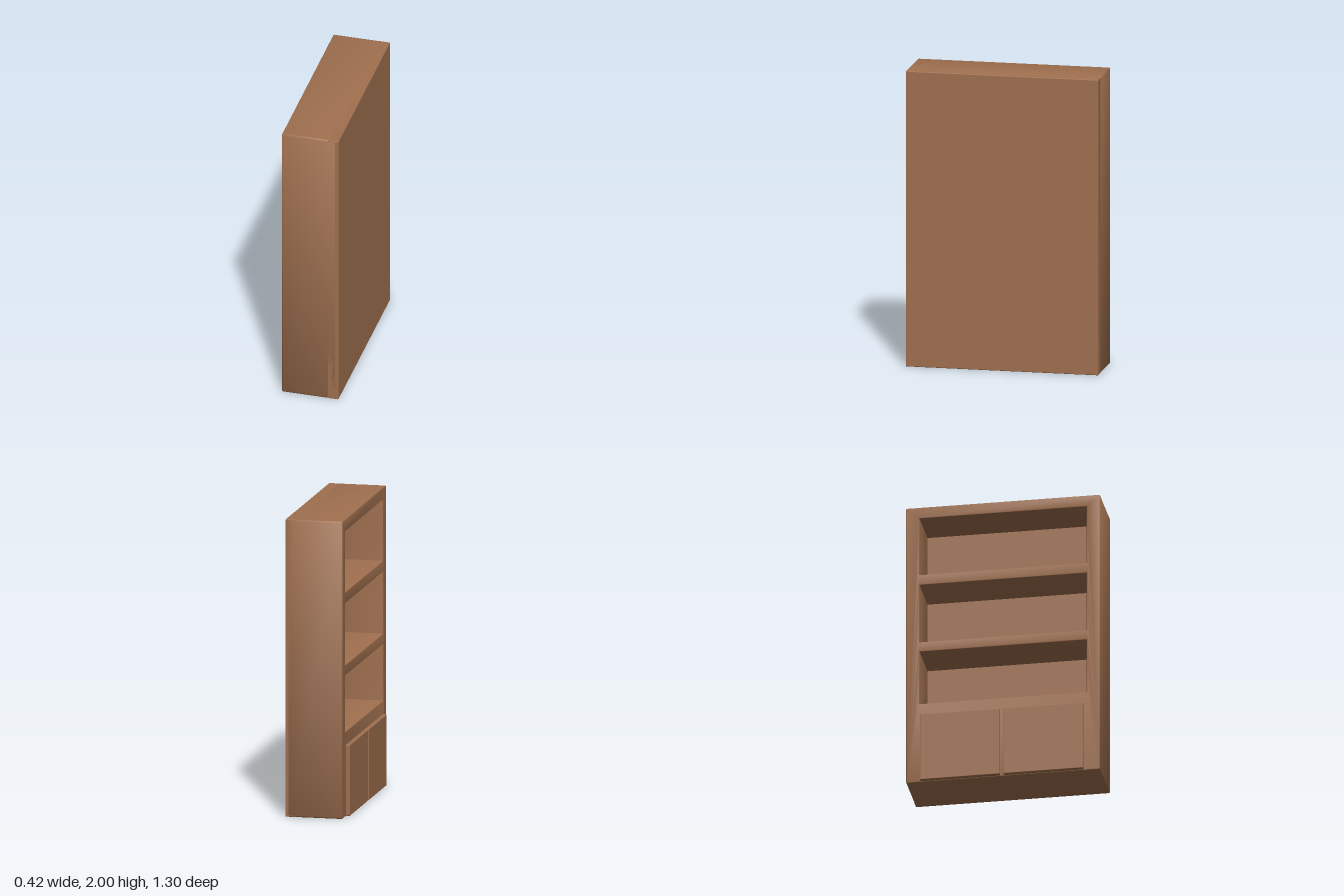
import * as THREE from 'three';
import { RoundedBoxGeometry } from 'three/addons/geometries/RoundedBoxGeometry.js';
import { toCreasedNormals } from 'three/addons/utils/BufferGeometryUtils.js';

const HALF_WIDTH = 0.65, HEIGHT = 2, OPEN_X = -0.18, BACK_X = 0.207;
const INNER_BACK_X = 0.13, BEVEL = 0.006;

const wood = new THREE.MeshStandardMaterial({ color: 0xa0704f });
wood.name = 'brown wood';

function addMesh(group, name, geometry) {
  const mesh = new THREE.Mesh(geometry, wood);
  mesh.name = name;
  group.add(mesh);
}

// Softly rounded box given by its limits on each axis
function block(x0, x1, y0, y1, z0, z1) {
  return new RoundedBoxGeometry(x1 - x0, y1 - y0, z1 - z0, 2, BEVEL)
    .translate((x0 + x1) / 2, (y0 + y1) / 2, (z0 + z1) / 2);
}

// Cabinet outline with rounded corners
function outline(w, h, r) {
  const s = new THREE.Shape();
  s.absarc(w - r, r, r, -Math.PI / 2, 0);
  s.absarc(w - r, h - r, r, 0, Math.PI / 2);
  s.absarc(-w + r, h - r, r, Math.PI / 2, Math.PI);
  s.absarc(-w + r, r, r, Math.PI, Math.PI * 1.5);
  return s;
}

export function createModel() {
  const group = new THREE.Group();
  group.name = 'bookcase';

  // Frame with three shelf openings facing -x
  const shape = outline(HALF_WIDTH, HEIGHT, 0.009);
  for (const [y0, y1] of [[0.57, 0.95], [1.02, 1.435], [1.51, 1.92]]) {
    const w = 0.56;
    shape.holes.push(new THREE.Path([[-w, y0], [-w, y1], [w, y1], [w, y0]]
      .map(([x, y]) => new THREE.Vector2(x, y))));
  }
  const frame = new THREE.ExtrudeGeometry(shape, {
    depth: 0.19 - OPEN_X - 2 * BEVEL, curveSegments: 3,
    bevelThickness: BEVEL, bevelSize: BEVEL, bevelOffset: -BEVEL, bevelSegments: 2,
  });
  frame.rotateY(Math.PI / 2).translate(OPEN_X + BEVEL, 0, 0);
  addMesh(group, 'shelfFrame', toCreasedNormals(frame, 0.9));

  // Solid back closing the shelf openings
  addMesh(group, 'backPanel', block(INNER_BACK_X, BACK_X, 0, HEIGHT, -HALF_WIDTH, HALF_WIDTH));

  // Pair of cupboard doors below the shelves
  addMesh(group, 'doorRight', block(-0.21, -0.179, 0.004, 0.483, -0.553, -0.018));
  addMesh(group, 'doorLeft', block(-0.21, -0.179, 0.004, 0.483, 0.006, 0.541));

  return group;
}
